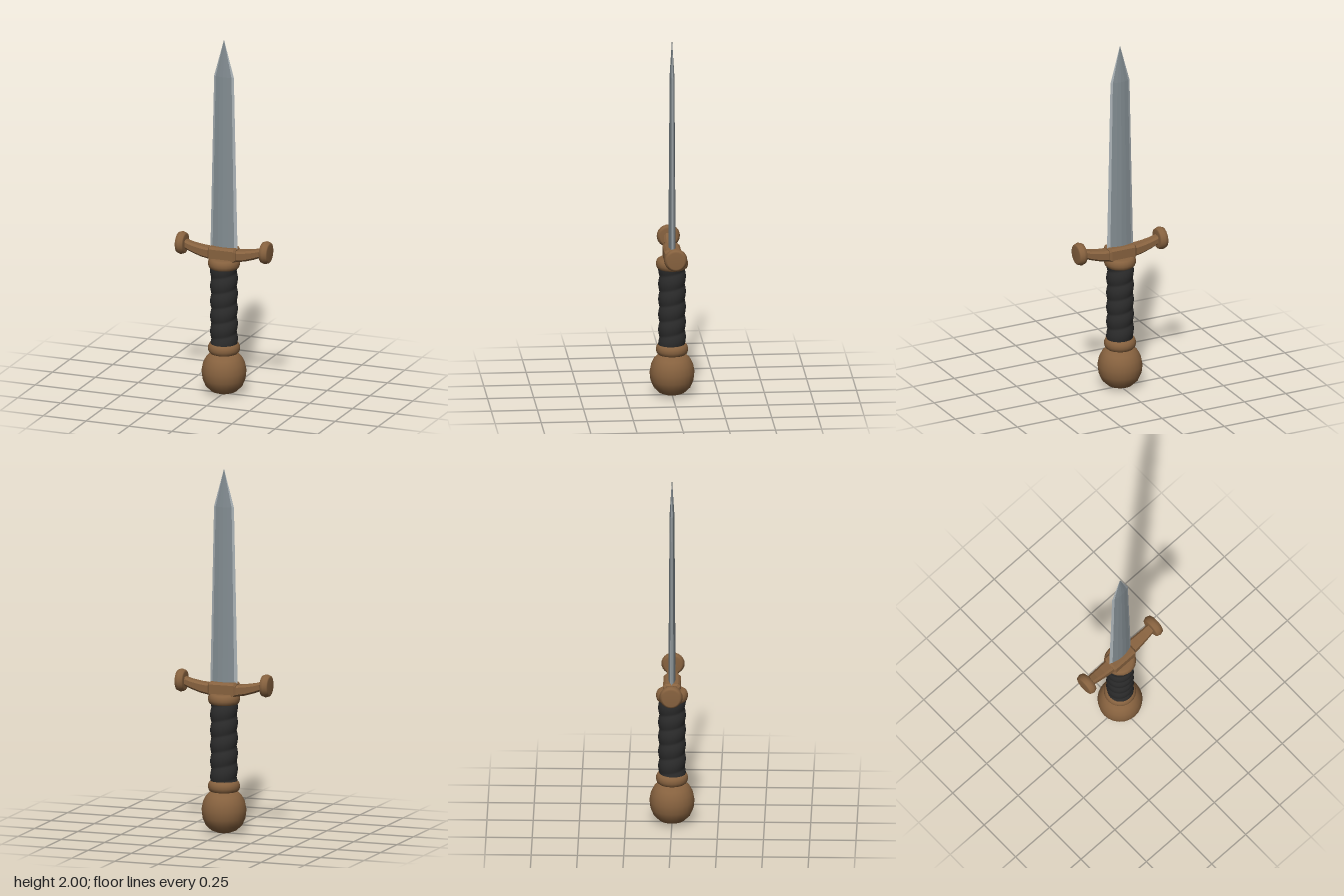
import * as THREE from 'three';

const mat = (name, color, side = THREE.FrontSide) => {
  const m = new THREE.MeshStandardMaterial({ color, side });
  m.name = name;
  return m;
};

// Skin a list of rings (arrays of [x, y, z]); keep(j) picks which strips are built
function loft(rings, { keep = () => true, caps = true } = {}) {
  const pos = [];
  const n = rings[0].length;
  const tri = (a, b, c) => pos.push(...a, ...b, ...c);
  for (let i = 0; i < rings.length - 1; i++) {
    for (let j = 0; j < n; j++) {
      if (!keep(j)) continue;
      const k = (j + 1) % n, r = rings[i], s = rings[i + 1];
      tri(r[j], r[k], s[k]);
      tri(r[j], s[k], s[j]);
    }
  }
  if (caps) {
    const first = rings[0], last = rings[rings.length - 1];
    for (let j = 1; j < n - 1; j++) {
      tri(first[0], first[j + 1], first[j]);
      tri(last[0], last[j], last[j + 1]);
    }
  }
  const g = new THREE.BufferGeometry();
  g.setAttribute('position', new THREE.Float32BufferAttribute(pos, 3));
  g.computeVertexNormals();
  return g;
}

// Chamfered rectangle across the x axis
function bar(x, y, hy, hz, c) {
  return [[hy, hz - c], [hy - c, hz], [c - hy, hz], [-hy, hz - c],
    [-hy, c - hz], [c - hy, -hz], [hy - c, -hz], [hy, c - hz]]
    .map(([dy, dz]) => [x, y + dy, dz]);
}

const lathe = (points, segments = 24) =>
  new THREE.LatheGeometry(points.map(([r, y]) => new THREE.Vector2(r, y)), segments);

export function createModel() {
  const model = new THREE.Group();
  model.name = 'dagger';
  const bronze = mat('bronze', 0x87623f);
  const leather = mat('dark leather', 0x2c2c2c);
  const steel = mat('blade steel', 0x838d92);
  const honed = mat('honed edge', 0xabb3b7);
  const add = (name, geometry, material) => {
    const mesh = new THREE.Mesh(geometry, material);
    mesh.name = name;
    model.add(mesh);
    return mesh;
  };

  // Pommel
  add('pommel', lathe([[0, 0], [0.035, 0.003], [0.07, 0.016], [0.1, 0.045], [0.117, 0.085],
    [0.122, 0.13], [0.114, 0.172], [0.097, 0.205], [0.073, 0.228], [0, 0.24]]), bronze);

  // Collars at both ends of the grip
  const collar = [[0, 0], [0.074, 0], [0.082, 0.007], [0.087, 0.022], [0.086, 0.038],
    [0.08, 0.052], [0.071, 0.058], [0, 0.058]];
  add('lowerCollar', lathe(collar), bronze).position.y = 0.229;
  add('upperCollar', lathe(collar), bronze).position.y = 0.709;

  // Grip with a spiral wrap
  const grip = new THREE.CylinderGeometry(0.07, 0.07, 0.45, 32, 60, true);
  const p = grip.attributes.position;
  for (let i = 0; i < p.count; i++) {
    const x = p.getX(i), y = p.getY(i), z = p.getZ(i);
    const turn = Math.atan2(x, z) / (Math.PI * 2);
    const r = 0.068 + 0.007 * Math.abs(Math.sin(Math.PI * (y / 0.085 - turn)));
    const k = r / Math.hypot(x, z);
    p.setXYZ(i, x * k, y, z * k);
  }
  grip.computeVertexNormals();
  add('grip', grip, leather).position.y = 0.495;

  // Guard: centre block and upswept arms
  const flatBronze = bronze;
  flatBronze.flatShading = false;
  add('guardBlock', loft([
    bar(-0.08, 0.79, 0.032, 0.038, 0.012), bar(-0.07, 0.79, 0.04, 0.047, 0.012),
    bar(0.07, 0.79, 0.04, 0.047, 0.012), bar(0.08, 0.79, 0.032, 0.038, 0.012),
  ]), bronze);
  const arm = [[0.225, 0.821, 0.024, 0.025], [0.18, 0.806, 0.026, 0.028],
    [0.13, 0.794, 0.029, 0.031], [0.07, 0.786, 0.031, 0.035]];
  const section = (s) => ([x, y, hy, hz]) => bar(s * x, y, hy, hz, 0.011);
  add('guardArms', loft([...arm.map(section(-1)), ...arm.slice().reverse().map(section(1))]), bronze);

  // Rounded discs on the guard ends
  for (const s of [-1, 1]) {
    const disc = add(s > 0 ? 'leftGuardEnd' : 'rightGuardEnd', lathe([[0, -0.024], [0.046, -0.024],
      [0.056, -0.02], [0.063, 0], [0.056, 0.02], [0.046, 0.024], [0, 0.024]]), bronze);
    disc.rotation.z = -s * Math.PI / 2;
    disc.position.set(s * 0.245, 0.823, 0);
  }

  // Blade: lens section tapering to a point, with lighter cutting edges
  const lens = [[0, 0.02], [0.03, 0.017], [0.063, 0.009], [0.079, 0], [0.063, -0.009], [0.03, -0.017],
    [0, -0.02], [-0.03, -0.017], [-0.063, -0.009], [-0.079, 0], [-0.063, 0.009], [-0.03, 0.017]];
  const rings = [[0.82, 1, 1], [1.79, 0.73, 0.65], [2, 0.001, 0.001]]
    .map(([y, sx, sz]) => lens.map(([x, z]) => [x * sx, y, z * sz]));
  const isEdge = (j) => [2, 3, 8, 9].includes(j);
  add('bladeFaces', loft(rings, { keep: (j) => !isEdge(j) }), steel);
  add('bladeEdges', loft(rings, { keep: isEdge, caps: false }), honed);

  return model;
}
